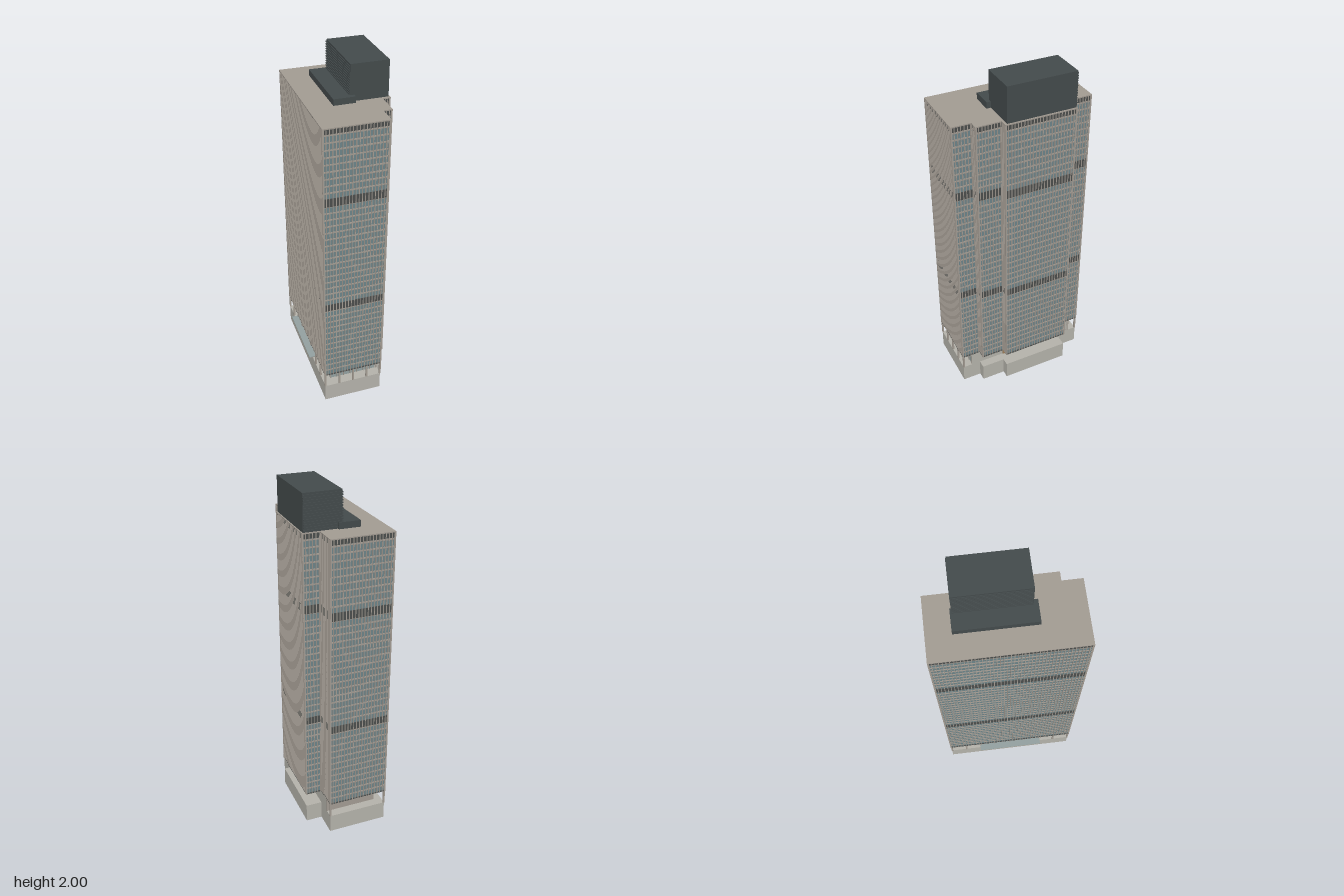
import * as THREE from 'three';
import { mergeGeometries } from 'three/addons/utils/BufferGeometryUtils.js';

const mat = (color) => new THREE.MeshStandardMaterial({ color });
const STONE = mat(0xb4b2aa), TAN = mat(0xa29b92), GLASS = mat(0x6c8388), PALE_GLASS = mat(0x93a0a0);
const DARK = mat(0x434a4b), BAND = mat(0x4a4d4c), BROWN = mat(0x9b7d5a);

// Tower footprint as [x, z] corners
const PLAN = [
  [-0.21, -0.4], [0.145, -0.4], [0.145, -0.26], [0.24, -0.26], [0.24, 0.15],
  [0.195, 0.15], [0.195, 0.29], [0.145, 0.29], [0.145, 0.4], [-0.21, 0.4],
];

// Unit direction of the plan edge starting at corner i
function edgeDir(i) {
  const n = PLAN.length, a = PLAN[(i + n) % n], b = PLAN[(i + 1) % n];
  const l = Math.hypot(b[0] - a[0], b[1] - a[1]);
  return [(b[0] - a[0]) / l, (b[1] - a[1]) / l, l];
}

// Prism of the footprint, moved inward by d, from y0 to y1
function prism(d, y0, y1) {
  const pts = PLAN.map(([x, z], i) => {
    const p = edgeDir(i - 1), q = edgeDir(i);
    return new THREE.Vector2(x - (p[1] + q[1]) * d, -(z + (p[0] + q[0]) * d));
  });
  const g = new THREE.ExtrudeGeometry(new THREE.Shape(pts), { depth: y1 - y0, bevelEnabled: false });
  return g.rotateX(-Math.PI / 2).translate(0, y0, 0);
}

// Box given by its limits on each axis
function box(x0, x1, y0, y1, z0, z1) {
  return new THREE.BoxGeometry(x1 - x0, y1 - y0, z1 - z0)
    .translate((x0 + x1) / 2, (y0 + y1) / 2, (z0 + z1) / 2);
}

export function createModel() {
  const model = new THREE.Group();
  const add = (name, geo, material) => {
    const mesh = new THREE.Mesh(Array.isArray(geo) ? mergeGeometries(geo) : geo, material);
    mesh.name = name;
    model.add(mesh);
  };
  const BOTTOM = 0.195, TOP = 1.8, FLOORS = 40, STEP = (TOP - BOTTOM) / FLOORS;

  // Podium
  add('podium', prism(0.004, 0, 0.11), STONE);

  // Tower: glass core, soffit and roof
  add('glassWalls', prism(0.008, BOTTOM + 0.004, TOP - 0.004), GLASS);
  add('soffit', prism(0.002, BOTTOM, BOTTOM + 0.005), BAND);
  add('roof', prism(0, TOP - 0.006, TOP), TAN);

  // Floor edges
  const slabs = [];
  for (let i = 1; i < FLOORS; i++) {
    const y = BOTTOM + i * STEP;
    slabs.push(prism(0.005, y - 0.004, y + 0.004));
  }
  add('floorEdges', slabs, TAN);

  // Dark plant-floor bands
  add('plantBands', [[0.68, 0.722], [1.358, 1.405], [1.766, 1.794]]
    .map(([a, b]) => prism(0.004, a, b)), BAND);

  // Vertical fins along every edge of the plan
  const fins = [];
  PLAN.forEach(([x, z], i) => {
    const [dx, dz, len] = edgeDir(i);
    const count = Math.round(len / 0.0175);
    for (let k = 0; k <= count; k++) {
      const t = 0.002 + (k / count) * (len - 0.004);
      const g = new THREE.BoxGeometry(0.0035, TOP - BOTTOM - 0.002, 0.009);
      g.rotateY(dx ? 0 : Math.PI / 2);
      fins.push(g.translate(x + dx * t - dz * 0.0045, (TOP + BOTTOM) / 2, z + dz * t + dx * 0.0045));
    }
  });
  add('fins', fins, TAN);

  // Lobby under the tower
  add('lobbyGlass', box(-0.157, 0.13, 0.11, BOTTOM, -0.33, 0.338), PALE_GLASS);
  add('lobbySideWall', box(0.125, 0.142, 0.11, BOTTOM, -0.34, 0.34), STONE);
  add('lobbyBackWall', box(-0.16, 0.142, 0.11, BOTTOM, -0.345, -0.328), TAN);
  add('timberWall', box(0.14, 0.147, 0.11, BOTTOM, -0.13, 0.13), BROWN);
  const mullions = [];
  for (let i = 0; i <= 7; i++) {
    const x = -0.157 + i * 0.042;
    mullions.push(box(x - 0.002, x + 0.002, 0.11, BOTTOM, 0.336, 0.342));
  }
  for (let i = 0; i <= 13; i++) {
    const z = -0.325 + i * 0.05;
    mullions.push(box(-0.161, -0.155, 0.11, BOTTOM, z - 0.002, z + 0.002));
  }
  add('lobbyMullions', mullions, TAN);

  // Free-standing columns on the front, the long open side and the rear corner
  const columns = [];
  const column = (x, z) => columns.push(box(x - 0.005, x + 0.005, 0.11, BOTTOM + 0.002, z - 0.005, z + 0.005));
  for (let i = 1; i <= 4; i++) column(-0.204 + i * 0.086, 0.393);
  for (let i = 0; i <= 8; i++) column(-0.204, -0.393 + i * 0.09825);
  column(0.138, -0.393);
  add('columns', columns, TAN);

  // Glass canopy with brackets
  add('canopy', box(-0.245, -0.16, 0.176, 0.18, -0.2, 0.2), PALE_GLASS);
  const brackets = [];
  for (const z of [-0.198, -0.15, -0.05, 0.05, 0.15, 0.198]) {
    brackets.push(box(-0.243, -0.16, 0.172, 0.177, z - 0.0015, z + 0.0015));
  }
  add('canopyBrackets', brackets, TAN);

  // Rooftop plant rooms
  add('lowPlantRoom', box(-0.075, 0.045, TOP, 1.835, -0.268, 0.16), DARK);
  add('plantRoom', box(0.022, 0.233, TOP, 2, -0.255, 0.136), DARK);
  const louvres = [];
  for (let i = 0; i < 14; i++) {
    const y = 1.808 + i * 0.0135;
    louvres.push(box(0.018, 0.024, y, y + 0.006, -0.259, 0.134));
    louvres.push(box(0.02, 0.231, y, y + 0.006, -0.259, -0.253));
  }
  add('plantRoomLouvres', louvres, DARK);

  return model;
}
